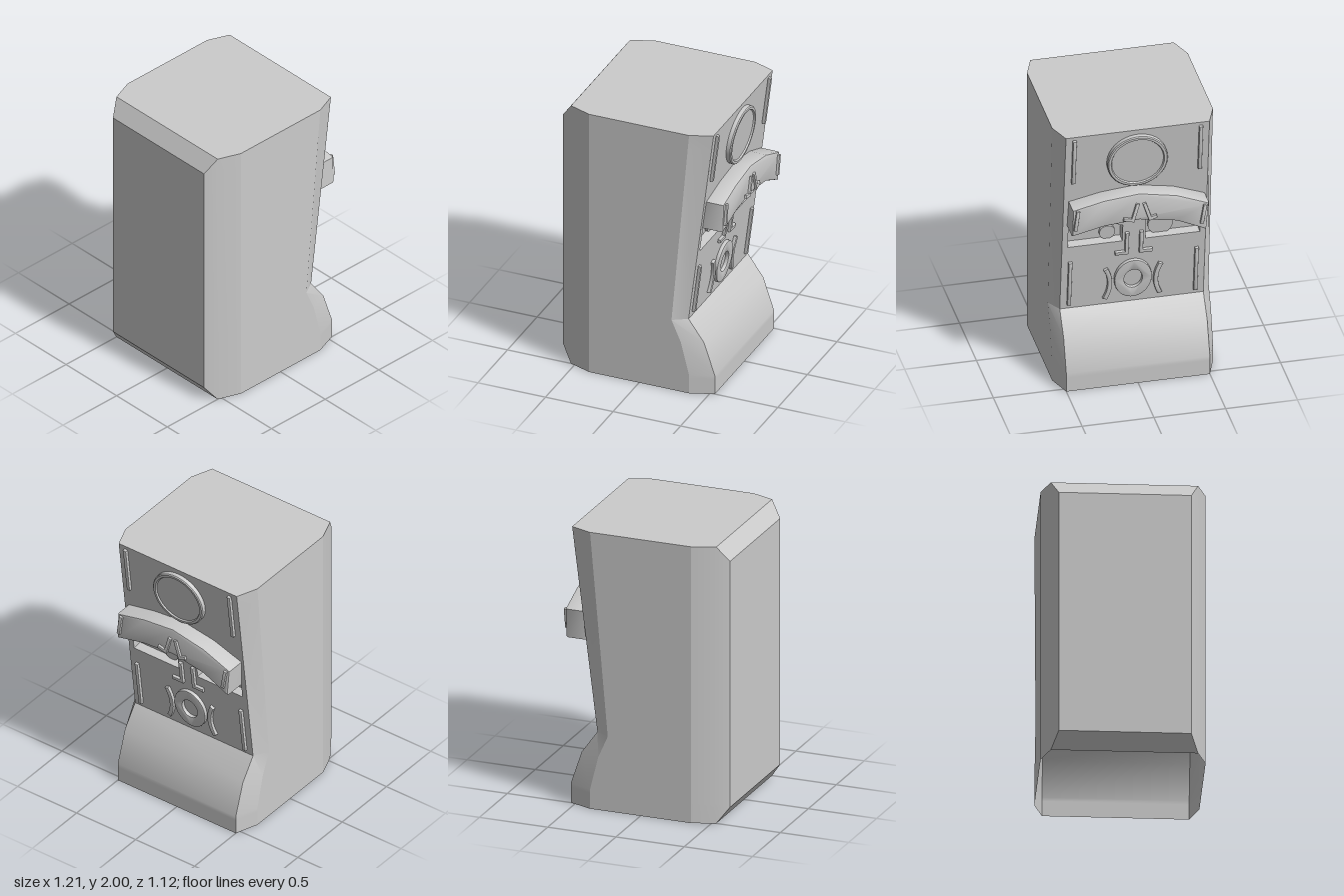
import * as THREE from 'three';
import { toCreasedNormals } from 'three/addons/utils/BufferGeometryUtils.js';

const grey = new THREE.MeshStandardMaterial({ color: 0xcccccc, side: THREE.DoubleSide });
const BASE_Y = 0.54, TOP_Y = 2, BASE_X = 0.34, TOP_X = 0.525;
const TILT = Math.atan2(TOP_X - BASE_X, TOP_Y - BASE_Y);

// Height above the floor -> distance up the sloping face
const slope = (y) => (y - BASE_Y) / Math.cos(TILT);
const upright = (y) => y;

function add(parent, name, geometry) {
  const mesh = new THREE.Mesh(geometry, grey);
  mesh.name = name;
  parent.add(mesh);
  return mesh;
}

function polygon(points, toV, Type = THREE.Shape) {
  return new Type(points.map(([u, y]) => new THREE.Vector2(u, toV(y))));
}

// Solid from a flat shape, back at z0 and front at z1, with a small bevelled front edge
function plate(shape, z0, z1, bevel = 0.005) {
  const geometry = new THREE.ExtrudeGeometry(shape, {
    depth: z1 - z0 - bevel, bevelEnabled: bevel > 0, bevelSize: bevel, bevelThickness: bevel,
    bevelOffset: -bevel, bevelSegments: 2, curveSegments: 32,
  });
  geometry.translate(0, 0, z0);
  return toCreasedNormals(geometry, 0.5);
}

// Outline of a bar of constant width that follows a polyline
function stroke(points, width, toV) {
  const p = points.map(([u, y]) => new THREE.Vector2(u, toV(y)));
  const left = [], right = [];
  p.forEach((q, i) => {
    const a = i > 0 ? q.clone().sub(p[i - 1]).normalize() : null;
    const b = i < p.length - 1 ? p[i + 1].clone().sub(q).normalize() : null;
    const na = a ?? b, nb = b ?? a;
    const n = new THREE.Vector2(-na.y - nb.y, na.x + nb.x).normalize();
    const k = width / 2 / Math.max(0.4, n.dot(new THREE.Vector2(-na.y, na.x)));
    left.push(q.clone().addScaledVector(n, k));
    right.unshift(q.clone().addScaledVector(n, -k));
  });
  return new THREE.Shape([...left, ...right]);
}

// Hollow shell from stacked cross-sections, open underneath and at the sloping face
function shellGeometry() {
  // height, front x, front corner x, back x, back half width
  const rows = [
    [0, 0.535, 0.37, -0.53, 0.5],
    [0.11, 0.535, 0.37, -0.61, 0.45],
    [0.14, 0.535, 0.37, -0.61, 0.45],
    [0.38, 0.455, 0.31, -0.61, 0.45],
    [BASE_Y, BASE_X, 0.24, -0.61, 0.45],
    [1.89, 0.511, 0.36, -0.61, 0.45],
    [TOP_Y, TOP_X, 0.37, -0.53, 0.5],
  ];
  const position = [], index = [], n = 10;
  for (const [y, front, corner, back, half] of rows) {
    const side = [[front, 0.5], [corner, 0.56], [-0.37, 0.56], [-0.53, 0.5], [back, half]];
    for (const [x, z] of side) position.push(x, y, z);
    for (const [x, z] of side.reverse()) position.push(x, y, -z);
  }
  for (let r = 0; r < rows.length - 1; r++) {
    for (let j = 0; j < n; j++) {
      if (j === n - 1 && r >= 4) continue;
      const a = r * n + j, b = r * n + (j + 1) % n;
      index.push(a, a + n, b + n, a, b + n, b);
    }
  }
  const t = (rows.length - 1) * n;
  for (let j = 1; j < n - 1; j++) index.push(t, t + j + 1, t + j);
  const geometry = new THREE.BufferGeometry();
  geometry.setAttribute('position', new THREE.Float32BufferAttribute(position, 3));
  geometry.setIndex(index);
  return toCreasedNormals(geometry, 0.33);
}

function ellipse(u, y, rx, ry, Type) {
  return new Type().absellipse(u, slope(y), rx, ry, 0, Math.PI * 2);
}

export function createModel() {
  const model = new THREE.Group();
  add(model, 'cabinetShell', shellGeometry());

  // Sloping face: local x runs across, y up the slope, z outwards
  const face = new THREE.Group();
  face.name = 'face';
  face.rotation.set(0, Math.PI / 2, -TILT, 'ZYX');
  face.position.set(BASE_X, BASE_Y, 0);
  model.add(face);

  const sockets = [
    [[-0.46, 1.06], [-0.08, 1.06], [-0.08, 1.195], [-0.33, 1.29], [-0.46, 1.3]],
    [[0.08, 1.06], [0.46, 1.06], [0.46, 1.21], [0.38, 1.3], [0.08, 1.32]],
  ];
  const withSockets = (shape) => {
    shape.holes = sockets.map((s) => polygon(s, slope, THREE.Path));
    return shape;
  };
  const rect = (w, y0, y1) => polygon([[-w, y0], [w, y0], [w, y1], [-w, y1]], slope);
  add(face, 'facePanel', new THREE.ShapeGeometry(withSockets(rect(0.5, BASE_Y, TOP_Y))));

  // Sunken eye sockets
  add(face, 'socketWalls', plate(withSockets(rect(0.48, 1.03, 1.36)), -0.07, -0.001, 0));
  add(face, 'socketFloor', plate(rect(0.48, 1.03, 1.36), -0.08, -0.07, 0));
  for (const [u, y, r] of [[-0.175, 1.11, 0.055], [0.195, 1.13, 0.087]]) {
    const eye = add(face, 'eye', new THREE.CylinderGeometry(r, r, 0.02, 32));
    eye.rotation.x = Math.PI / 2;
    eye.position.set(u, slope(y), -0.06);
  }

  // Forehead disc with a raised rim
  const profile = [[0, 0.025], [0.18, 0.025], [0.186, 0.035], [0.203, 0.035], [0.21, 0.028], [0.21, 0]]
    .reverse().map(([r, h]) => new THREE.Vector2(r, h));
  const disc = add(face, 'foreheadDisc', toCreasedNormals(new THREE.LatheGeometry(profile, 48), 0.5));
  disc.rotation.x = Math.PI / 2;
  disc.position.y = slope(1.755);

  // Mouth ring
  const ring = ellipse(0, 0.745, 0.13, 0.155, THREE.Shape);
  ring.holes.push(ellipse(0, 0.745, 0.063, 0.075, THREE.Path));
  add(face, 'mouthRing', plate(ring, 0, 0.025));

  // Mirrored trim: long bars, nose angles and cheek arcs
  for (const s of [-1, 1]) {
    const trim = (name, points, width) =>
      add(face, name, plate(stroke(points.map(([u, y]) => [s * u, y]), width, slope), 0, 0.022));
    trim('upperBar', [[0.44, 1.615], [0.44, 1.975]], 0.026);
    trim('lowerBar', [[0.44, 0.575], [0.44, 0.935]], 0.026);
    trim('noseAngle', [[0.05, 1.135], [0.05, 0.968], [0.13, 0.968]], 0.026);
    const arc = [];
    for (let i = 0; i <= 12; i++) {
      const t = i / 6 - 1;
      arc.push([0.16 + 0.032 * t * t, 0.717 + 0.125 * t]);
    }
    trim('cheekArc', arc, 0.032);
  }

  // Upright lopsided brow with its own trim
  const brow = new THREE.Group();
  brow.name = 'brow';
  brow.rotation.y = Math.PI / 2;
  model.add(brow);
  const outline = [
    [-0.47, 1.25], [-0.245, 1.3], [0, 1.32], [0.26, 1.275], [0.465, 1.18],
    [0.483, 1.39], [0.26, 1.48], [0, 1.53], [-0.245, 1.505], [-0.465, 1.455],
  ];
  add(brow, 'browBar', plate(polygon(outline, upright), 0.42, 0.585, 0.015));
  const browTrim = [
    [[-0.43, 1.45], [-0.45, 1.3]],
    [[0.455, 1.385], [0.43, 1.24]],
    [[-0.015, 1.455], [-0.05, 1.33], [-0.115, 1.345]],
    [[0.03, 1.455], [0.07, 1.33], [0.118, 1.345]],
  ];
  for (const points of browTrim) {
    add(brow, 'browTrim', plate(stroke(points, 0.025, upright), 0.575, 0.602));
  }
  return model;
}
